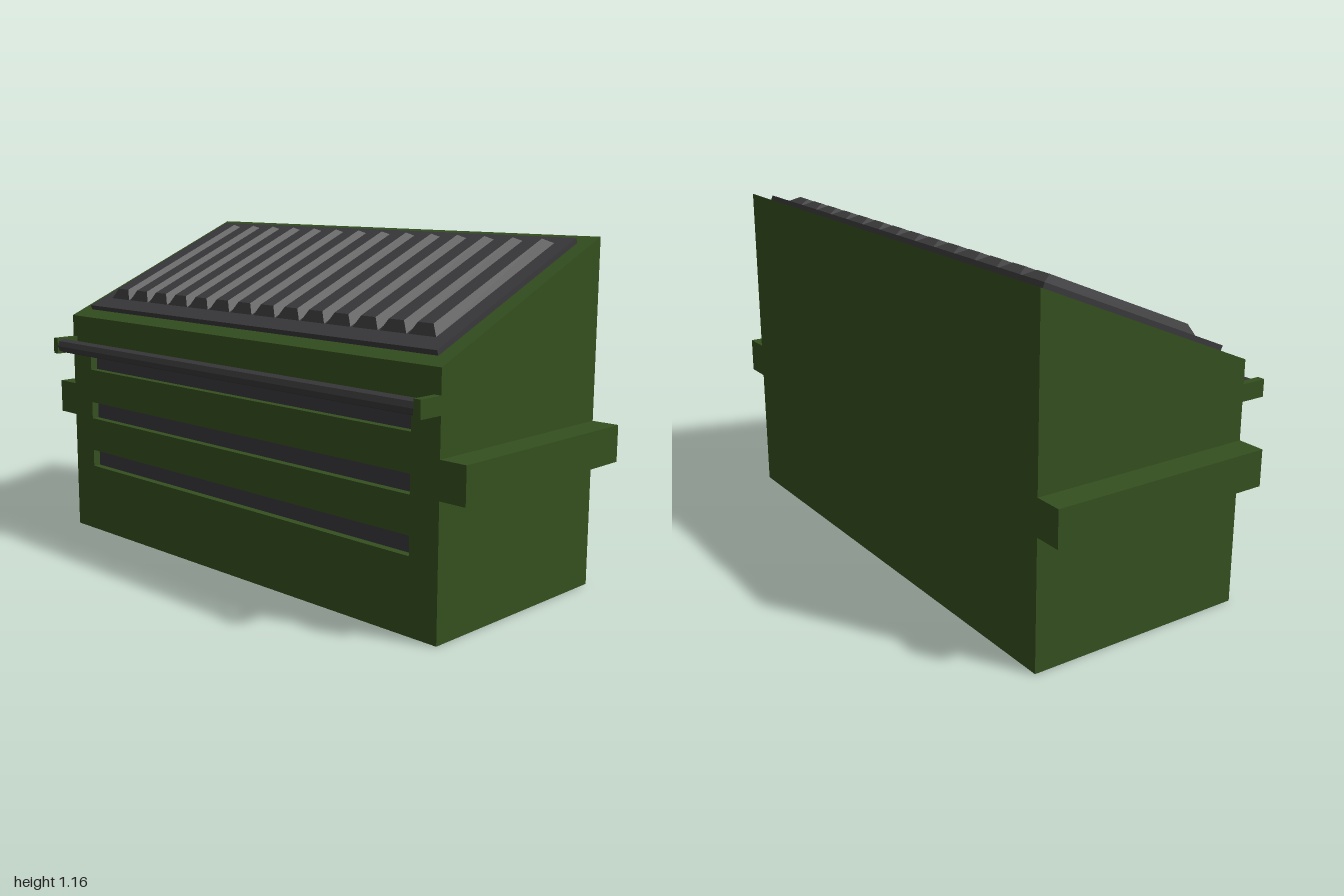
import * as THREE from 'three';

const green = new THREE.MeshStandardMaterial({ color: 0x35501f, flatShading: true });
const dark = new THREE.MeshStandardMaterial({ color: 0x3a3a3c, flatShading: true });

const HALF = 0.905, BACK = -0.44, FRONT = 0.35, LOW = 0.825, HIGH = 1.16;
const RECESS = 0.03; // depth of the front slots
const SLOPE = (HIGH - LOW) / (FRONT - BACK);
const roofY = (z) => LOW + (FRONT - z) * SLOPE;

function add(parent, name, geometry, material, x = 0, y = 0, z = 0) {
  const mesh = new THREE.Mesh(geometry, material);
  mesh.name = name;
  mesh.position.set(x, y, z);
  parent.add(mesh);
  return mesh;
}

// Box whose top face is drawn in, for the lid ribs
function taperedBox(w, h, d, topW, topD) {
  const geo = new THREE.BoxGeometry(w, h, d);
  const p = geo.attributes.position;
  for (let i = 0; i < p.count; i++) {
    if (p.getY(i) > 0) {
      p.setX(i, Math.sign(p.getX(i)) * topW / 2);
      p.setZ(i, Math.sign(p.getZ(i)) * topD / 2);
    }
  }
  geo.computeVertexNormals();
  return geo;
}

function rectPath(path, x0, y0, x1, y1) {
  path.moveTo(x0, y0);
  path.lineTo(x1, y0);
  path.lineTo(x1, y1);
  path.lineTo(x0, y1);
  path.closePath();
  return path;
}

export function createModel() {
  const model = new THREE.Group();
  model.name = 'wasteContainer';

  // Main bin: side profile extruded across the width
  const inner = FRONT - RECESS;
  const profile = new THREE.Shape([
    new THREE.Vector2(-inner, 0), new THREE.Vector2(-BACK, 0),
    new THREE.Vector2(-BACK, HIGH), new THREE.Vector2(-inner, roofY(inner)),
  ]);
  const binGeo = new THREE.ExtrudeGeometry(profile, { depth: HALF * 2, bevelEnabled: false });
  binGeo.translate(0, 0, -HALF).rotateY(Math.PI / 2);
  add(model, 'bin', binGeo, green);

  // Front panel with three slots, its top edge following the roof slope
  const panel = rectPath(new THREE.Shape(), -HALF, 0, HALF, LOW);
  const slots = [0.25, 0.437, 0.625];
  for (const y of slots) panel.holes.push(rectPath(new THREE.Path(), -0.795, y, 0.795, y + 0.063));
  const panelGeo = new THREE.ExtrudeGeometry(panel, { depth: RECESS, bevelEnabled: false });
  panelGeo.translate(0, 0, inner);
  const p = panelGeo.attributes.position;
  for (let i = 0; i < p.count; i++) {
    if (p.getY(i) > LOW - 0.001) p.setY(i, roofY(p.getZ(i)));
  }
  panelGeo.computeVertexNormals();
  add(model, 'frontPanel', panelGeo, green);

  // Dark backing inside each slot
  for (const y of slots) {
    add(model, 'slotBacking', new THREE.BoxGeometry(1.59, 0.063, 0.004), dark, 0, y + 0.0315, inner + 0.001);
  }

  // Side lifting rails and the brackets of the front bar
  for (const side of [-1, 1]) {
    add(model, side > 0 ? 'leftRail' : 'rightRail',
      new THREE.BoxGeometry(0.095, 0.122, FRONT - BACK), green,
      side * 0.9525, 0.499, (FRONT + BACK) / 2);
    add(model, side > 0 ? 'leftBracket' : 'rightBracket',
      new THREE.BoxGeometry(0.026, 0.058, 0.09), green, side * 0.892, 0.716, 0.395);
  }

  // Front bar
  const barGeo = new THREE.CylinderGeometry(0.026, 0.026, 1.77, 8).rotateZ(Math.PI / 2);
  add(model, 'frontBar', barGeo, dark, 0, 0.716, 0.414);

  // Sloping lid with fourteen raised ribs
  const lid = new THREE.Group();
  lid.name = 'lid';
  lid.position.y = roofY(0);
  lid.rotation.x = Math.atan(SLOPE);
  model.add(lid);
  add(lid, 'lidPlate', new THREE.BoxGeometry(1.7, 0.018, 0.75), dark, 0, 0.009, -0.051);
  const ribGeo = taperedBox(0.105, 0.028, 0.638, 0.06, 0.582);
  for (let i = 0; i < 14; i++) {
    add(lid, 'lidRib', ribGeo, dark, (i - 6.5) * 0.1142, 0.032, -0.063);
  }

  return model;
}
